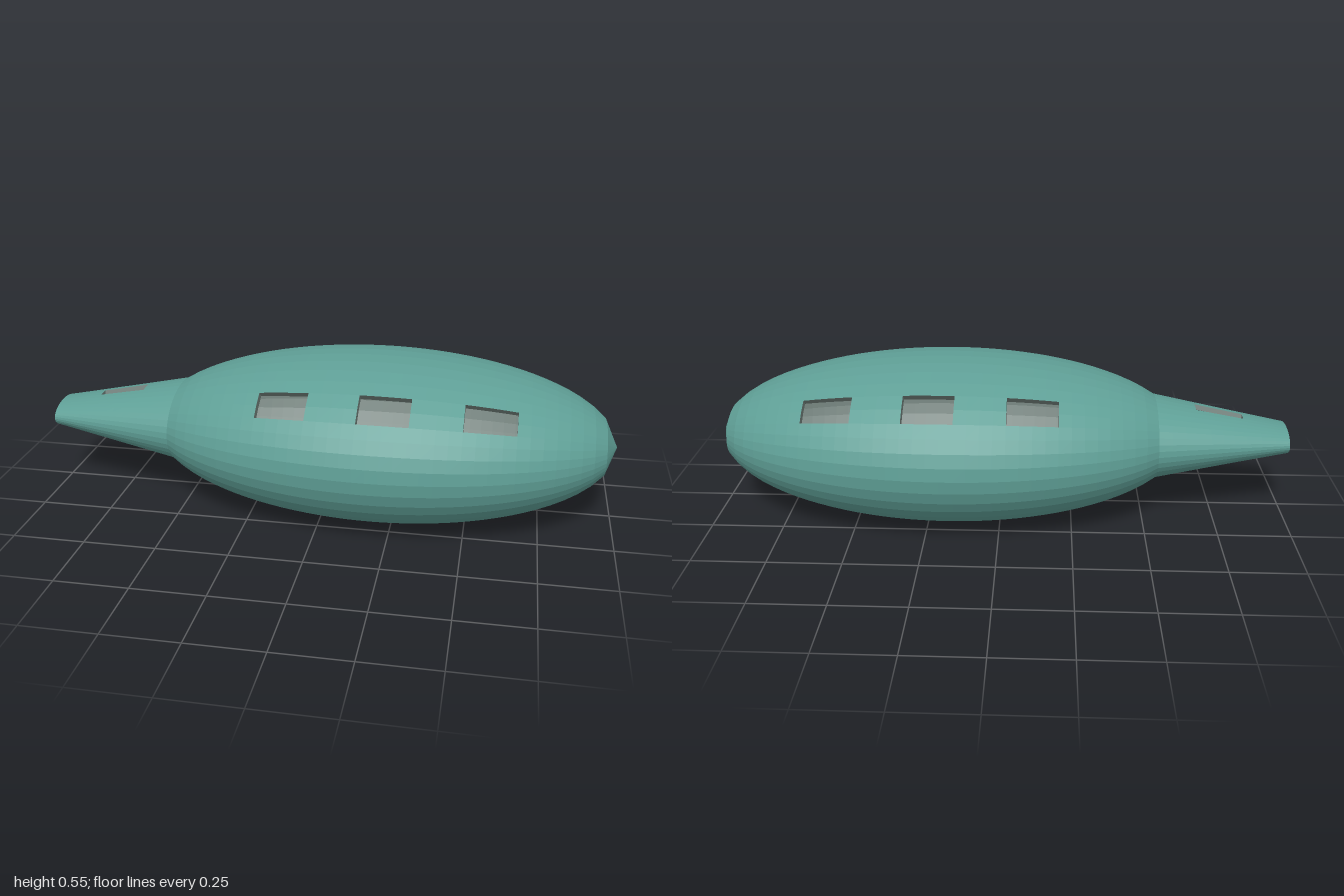
import * as THREE from 'three';

const SEGMENTS = 40, BODY_STEPS = 36, CENTRE_Y = 0.265;
const NECK_END = -1, JOINT = -0.54;

// Stations along the length: the neck (with its slot edges), then evenly spaced body rings
const NECK_X = [NECK_END, -0.95, -0.9, -0.847, -0.805, -0.763, -0.722, -0.68, -0.633, -0.586];
const STATIONS = [...NECK_X];
for (let i = 0; i <= BODY_STEPS; i++) STATIONS.push(JOINT + (1 - JOINT) * i / BODY_STEPS);

// Half height and half depth of the egg-shaped body
function bodyRadii(x) {
  const k = Math.sqrt(Math.max(0, 1 - ((x - 0.18) / 0.82) ** 2));
  return [0.285 * k, 0.429 * k];
}

// Oval section at x; the neck tapers to a flat mouthpiece
function section(x) {
  if (x >= JOINT) return [...bodyRadii(x), 0.9];
  const t = (x - NECK_END) / (JOINT - NECK_END);
  const [ry, rz] = bodyRadii(JOINT);
  return [THREE.MathUtils.lerp(0.045, ry, t), THREE.MathUtils.lerp(0.1, rz, t), THREE.MathUtils.lerp(0.72, 0.9, t)];
}

// Point on the outer or inner skin, with the underside flattened to stand on
function point(i, j, inner) {
  const x = STATIONS[i];
  const a = (j % SEGMENTS) / SEGMENTS * Math.PI * 2;
  const [ry, rz, wall] = section(x);
  const s = inner ? wall : 1;
  const y = CENTRE_Y + ry * s * Math.sin(a);
  return [inner ? Math.min(x, 0.98) : x, Math.max(inner ? 0.008 : 0, y), rz * s * Math.cos(a)];
}

// Finger holes on both upper flanks, and the sound slot on top of the neck
function isHole(i, j) {
  const b = i - NECK_X.length;
  const finger = [8, 16, 24].some((start) => b >= start && b < start + 4);
  if (finger && [4, 5, 14, 15].includes(j)) return true;
  return i >= 3 && i < 7 && (j === 9 || j === 10);
}

function quad(list, a, b, c, d) {
  list.push(...a, ...b, ...c, ...a, ...c, ...d);
}

function makeMesh(name, list, material) {
  const geometry = new THREE.BufferGeometry();
  geometry.setAttribute('position', new THREE.Float32BufferAttribute(list, 3));
  geometry.computeVertexNormals();
  const mesh = new THREE.Mesh(geometry, material);
  mesh.name = name;
  return mesh;
}

export function createModel() {
  const glaze = new THREE.MeshStandardMaterial({ color: 0x5f9f96, flatShading: true });
  glaze.name = 'teal glaze';
  const clay = new THREE.MeshStandardMaterial({ color: 0x74837e, flatShading: true });
  clay.name = 'grey clay';

  const neck = [], body = [], lining = [], holeWalls = [], rim = [];
  const wall = (list, [i, j], [k, l]) =>
    quad(list, point(k, l), point(i, j), point(i, j, true), point(k, l, true));

  for (let i = 0; i < STATIONS.length - 1; i++) {
    for (let j = 0; j < SEGMENTS; j++) {
      if (isHole(i, j)) continue;
      const a = [i, j], b = [i + 1, j], c = [i + 1, j + 1], d = [i, j + 1];
      // Outer skin and reversed inner skin
      quad(i < NECK_X.length ? neck : body, point(...a), point(...b), point(...c), point(...d));
      quad(lining, point(...d, true), point(...c, true), point(...b, true), point(...a, true));
      // Thickness of the shell where it meets an opening
      if (isHole(i, j - 1)) wall(holeWalls, a, b);
      if (isHole(i + 1, j)) wall(holeWalls, b, c);
      if (isHole(i, j + 1)) wall(holeWalls, c, d);
      if (isHole(i - 1, j)) wall(holeWalls, d, a);
      if (i === 0) wall(rim, d, a);
    }
  }

  const group = new THREE.Group();
  group.name = 'vesselFlute';
  group.add(
    makeMesh('body', body, glaze),
    makeMesh('mouthpiece', neck, glaze),
    makeMesh('mouthpieceRim', rim, glaze),
    makeMesh('holeWalls', holeWalls, clay),
    makeMesh('innerLining', lining, clay),
  );
  return group;
}
